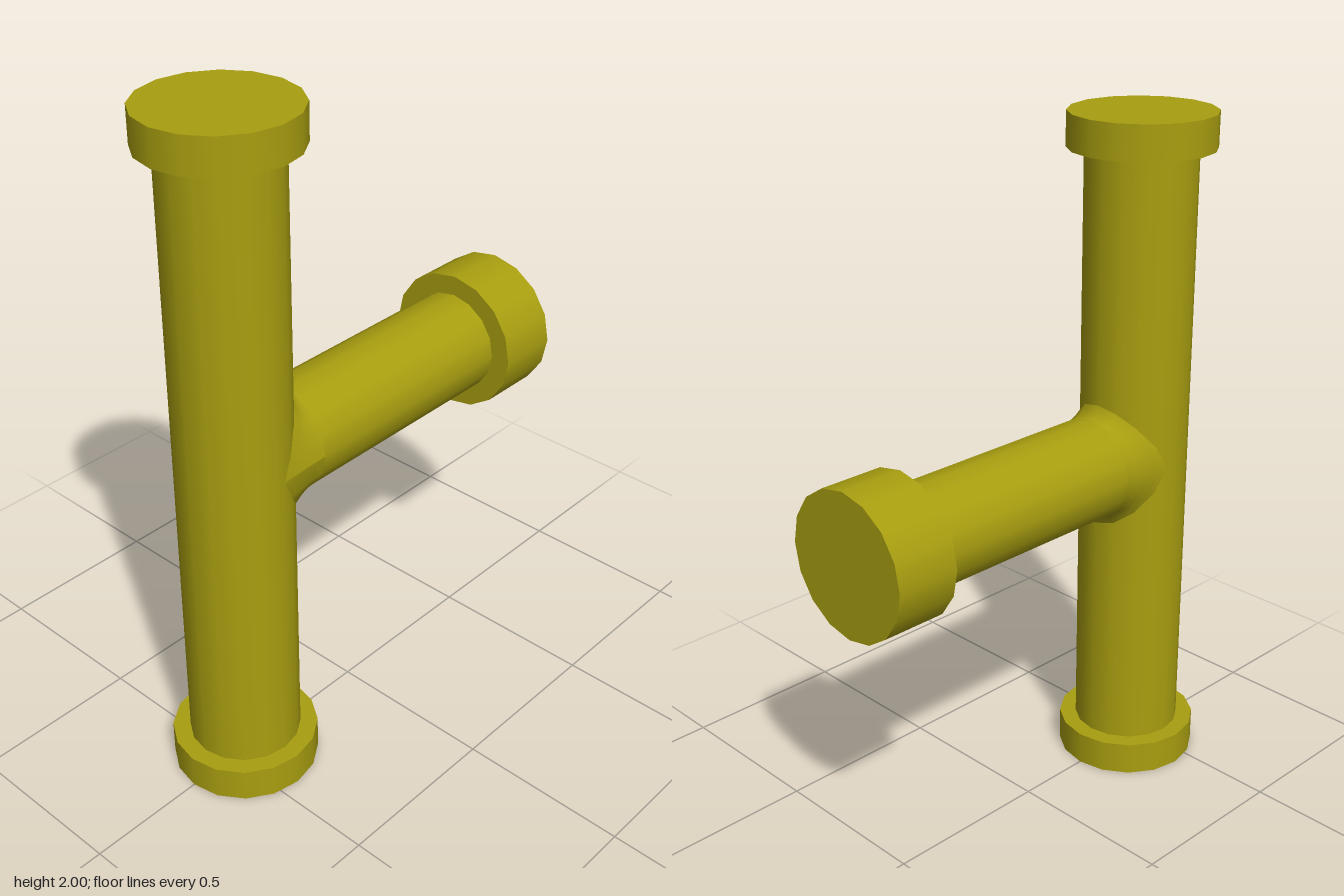
import * as THREE from 'three';

const SIDES = 16;
const AXIS_X = -0.44; // x of the upright pipe
const PIPE_R = 0.16, BRANCH_R = 0.15, CAP_R = 0.21;
const BRANCH_Y = 1;

export function createModel() {
  const group = new THREE.Group();
  const material = new THREE.MeshStandardMaterial({ color: 0xa89e10 });

  const add = (name, geometry) => {
    const mesh = new THREE.Mesh(geometry, material);
    mesh.name = name;
    group.add(mesh);
  };
  // Cylinder between two heights on the upright axis
  const upright = (r, y0, y1, open) =>
    new THREE.CylinderGeometry(r, r, y1 - y0, SIDES, 1, open).translate(AXIS_X, (y0 + y1) / 2, 0);
  // Cylinder between two x positions on the branch axis
  const sideways = (r, x0, x1, open) =>
    new THREE.CylinderGeometry(r, r, x1 - x0, SIDES, 1, open)
      .rotateZ(-Math.PI / 2).translate((x0 + x1) / 2, BRANCH_Y, 0);

  // Pipes
  add('mainPipe', upright(PIPE_R, 0.05, 1.95, true));
  add('branchPipe', sideways(BRANCH_R, AXIS_X + 0.1, 0.5, true));

  // End flanges
  add('bottomFlange', upright(CAP_R, 0, 0.1, false));
  add('topFlange', upright(CAP_R, 1.9, 2, false));
  add('branchCap', sideways(CAP_R, 0.46, 0.65, false));

  // Fillet blending the branch into the upright pipe
  const fillet = new THREE.CylinderGeometry(1, 1, 1, SIDES, 4, true).rotateZ(-Math.PI / 2);
  const p = fillet.attributes.position;
  for (let i = 0; i < p.count; i++) {
    const t = p.getX(i) + 0.5;
    const ease = 1 - (1 - t) ** 2;
    const baseZ = p.getZ(i) * 0.157;
    const baseX = AXIS_X + Math.sqrt(PIPE_R ** 2 - baseZ ** 2);
    p.setXYZ(i,
      THREE.MathUtils.lerp(baseX, -0.25, t),
      BRANCH_Y + p.getY(i) * THREE.MathUtils.lerp(0.185, BRANCH_R, ease),
      p.getZ(i) * THREE.MathUtils.lerp(0.157, BRANCH_R, ease));
  }
  fillet.computeVertexNormals();
  add('jointFillet', fillet);

  return group;
}
